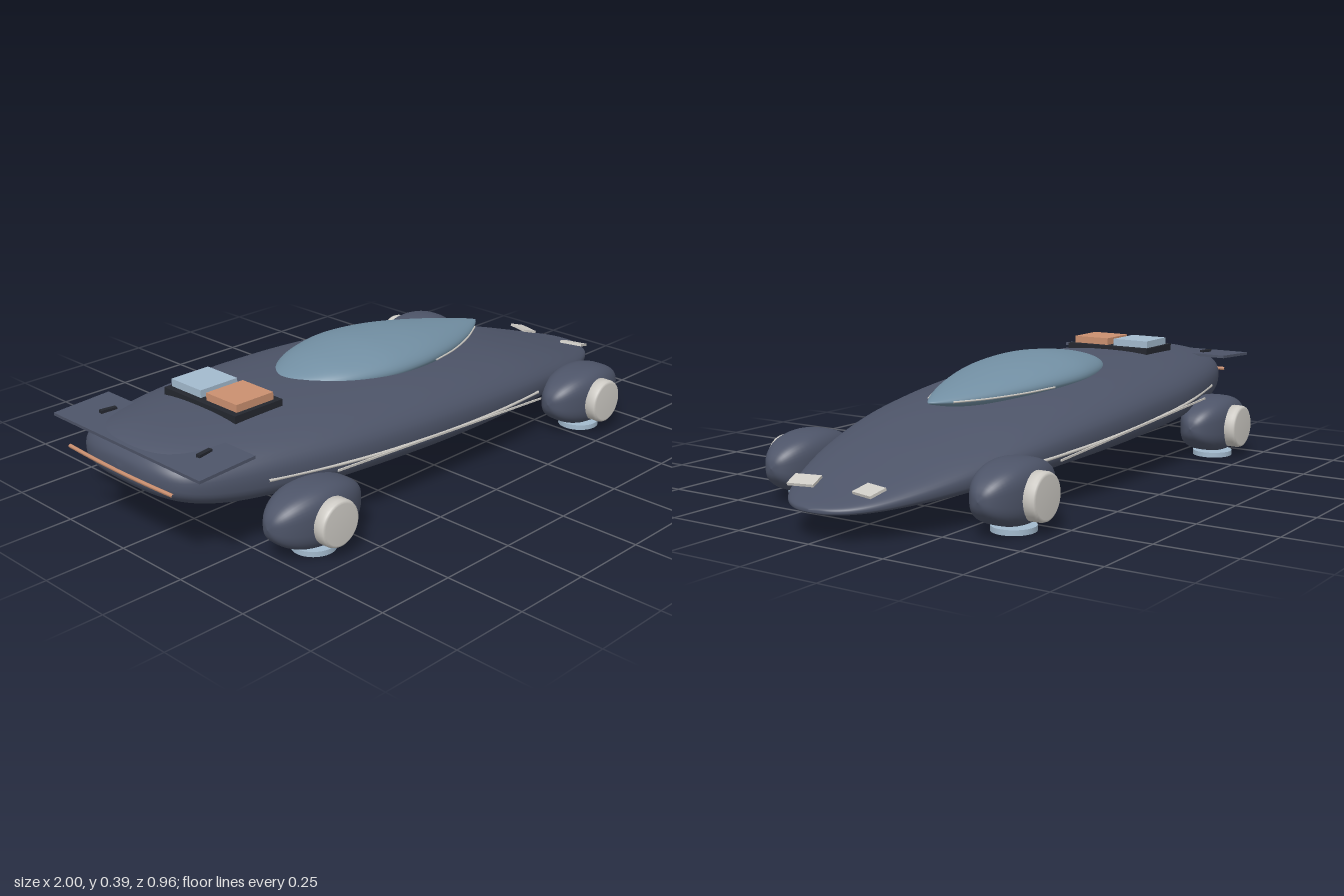
import * as THREE from 'three';

const mat = (name, color) => {
  const m = new THREE.MeshStandardMaterial({ color });
  m.name = name;
  return m;
};

// Smooth skin through sections [x, top, bottom, halfWidth]; mid is the height fraction of the widest line
function loft(stations, { mid = 0.5, nTop = 2, nBottom = 2, z = 0, steps = 6, sides = 56 }) {
  const curveA = new THREE.CatmullRomCurve3(stations.map(s => new THREE.Vector3(s[0], s[1], s[2])), false, 'catmullrom', 0.5);
  const curveB = new THREE.CatmullRomCurve3(stations.map(s => new THREE.Vector3(s[0], s[3], 0)), false, 'catmullrom', 0.5);
  const rows = (stations.length - 1) * steps;
  const pos = [], index = [];
  for (let i = 0; i <= rows; i++) {
    const a = curveA.getPoint(i / rows), w = Math.max(0, curveB.getPoint(i / rows).y);
    const my = a.z + (a.y - a.z) * mid;
    for (let j = 0; j < sides; j++) {
      const t = (j / sides) * Math.PI * 2, c = Math.cos(t), s = Math.sin(t);
      const e = 2 / (s >= 0 ? nTop : nBottom);
      const h = s >= 0 ? a.y - my : my - a.z;
      pos.push(a.x, my + h * Math.sign(s) * Math.abs(s) ** e, z + w * Math.sign(c) * Math.abs(c) ** e);
      if (i < rows) {
        const k = (j + 1) % sides, p = i * sides, q = p + sides;
        index.push(p + j, q + j, p + k, q + j, q + k, p + k);
      }
    }
  }
  const g = new THREE.BufferGeometry();
  g.setAttribute('position', new THREE.Float32BufferAttribute(pos, 3));
  g.setIndex(index);
  g.computeVertexNormals();
  return g;
}

const tube = (points, r) => new THREE.TubeGeometry(
  new THREE.CatmullRomCurve3(points.map(p => new THREE.Vector3(...p))), 40, r, 6);

export function createModel() {
  const car = new THREE.Group();
  car.name = 'car';
  const paint = mat('slate paint', 0x4d5468);
  const glass = mat('canopy glass', 0x728fa3);
  const silver = mat('pale silver', 0xcfccc6);
  const blue = mat('pale blue', 0xa3bace);
  const copper = mat('copper', 0xcb9070);
  const dark = mat('dark frame', 0x24272f);

  const add = (name, geo, material, x = 0, y = 0, z = 0, parent = car) => {
    const m = new THREE.Mesh(geo, material);
    m.name = name;
    m.position.set(x, y, z);
    parent.add(m);
    return m;
  };
  const box = (w, h, d) => new THREE.BoxGeometry(w, h, d);

  // Body shell
  const hull = [
    [-0.998, 0.25, 0.235, 0], [-0.99, 0.28, 0.21, 0.12], [-0.96, 0.307, 0.182, 0.2],
    [-0.9, 0.325, 0.155, 0.25], [-0.8, 0.335, 0.132, 0.288], [-0.65, 0.34, 0.118, 0.325],
    [-0.45, 0.339, 0.107, 0.358], [-0.2, 0.33, 0.098, 0.374], [0, 0.316, 0.092, 0.374],
    [0.2, 0.294, 0.087, 0.361], [0.4, 0.262, 0.082, 0.335], [0.6, 0.214, 0.078, 0.288],
    [0.75, 0.17, 0.076, 0.235], [0.87, 0.133, 0.075, 0.175], [0.94, 0.113, 0.076, 0.123],
    [0.98, 0.101, 0.079, 0.065], [0.995, 0.092, 0.085, 0]];
  add('body', loft(hull, { mid: 0.45, nTop: 2.4, nBottom: 3 }), paint);

  // Teardrop canopy
  const canopy = [
    [-0.41, 0.327, 0.317, 0], [-0.395, 0.337, 0.307, 0.045], [-0.34, 0.354, 0.292, 0.1],
    [-0.25, 0.373, 0.278, 0.152], [-0.12, 0.385, 0.265, 0.186], [0, 0.381, 0.262, 0.188],
    [0.12, 0.369, 0.262, 0.168], [0.25, 0.348, 0.265, 0.127], [0.37, 0.325, 0.274, 0.073],
    [0.45, 0.307, 0.289, 0.024], [0.478, 0.299, 0.297, 0]];
  add('canopy', loft(canopy, { mid: 0.45 }), glass);

  for (const s of [1, -1]) {
    const side = new THREE.Group();
    side.name = s > 0 ? 'leftSide' : 'rightSide';
    car.add(side);

    // Wheel pods with hub covers and ground pads
    for (const x of [-0.625, 0.582]) {
      const pod = new THREE.Group();
      pod.name = x < 0 ? 'rearWheelPod' : 'frontWheelPod';
      side.add(pod);
      const rings = [];
      for (let i = 0; i <= 10; i++) {
        const a = (i / 10) * Math.PI, r = Math.sin(a);
        rings.push([x - 0.167 * Math.cos(a), 0.11 + 0.092 * r, 0.11 - 0.092 * r, 0.085 * r]);
      }
      add('podShell', loft(rings, { nTop: 3, nBottom: 3, z: s * 0.365, steps: 3, sides: 40 }), paint, 0, 0, 0, pod);
      const hubProfile = [[0, -0.04], [0.07, -0.04], [0.07, 0.028], [0.067, 0.036], [0.06, 0.04], [0, 0.04]]
        .map(p => new THREE.Vector2(...p));
      add('hubCover', new THREE.LatheGeometry(hubProfile, 36), silver, x, 0.105, s * 0.438, pod)
        .rotation.x = s * Math.PI / 2;
      add('groundPad', new THREE.CylinderGeometry(0.065, 0.065, 0.016, 32), blue, x, 0.008, s * 0.367, pod);
    }

    // Pinstripe along the widest line of the body
    const stripe = [[-0.73, 0.307]].concat(hull.slice(6, 11).map(h => [h[0], h[3]]))
      .map(([x, w]) => [x, 0.215 - (x + 0.73) * 0.056, s * w]);
    add('sideStripe', tube(stripe, 0.005), silver);
    const rail = add('sideRail', box(0.9, 0.006, 0.004), silver, -0.09, 0.179, s * 0.378, side);
    rail.rotation.z = -0.056;

    // Canopy rim trim
    add('canopyTrim', tube([[0.08, 0.307, s * 0.179], [0.2, 0.302, s * 0.148],
      [0.32, 0.298, s * 0.1], [0.42, 0.297, s * 0.046]], 0.003), silver, 0, 0, 0, side);

    // Headlights
    const lamp = add('headlight', box(0.055, 0.008, 0.08), silver, 0.884, 0.135, s * 0.113, side);
    lamp.rotation.set(0, s * 0.25, -0.28);

    // Wing bracket
    add('wingBracket', box(0.05, 0.02, 0.014), dark, -0.87, 0.307, s * 0.212, side).rotation.y = s * 0.15;
  }

  // Rear wing
  add('rearWing', box(0.19, 0.009, 0.645), paint, -0.883, 0.304, 0).rotation.z = 0.05;

  // Tail light bar
  add('tailLight', tube([[-0.993, 0.235, -0.23], [-0.998, 0.235, -0.12], [-1, 0.235, 0],
    [-0.998, 0.235, 0.12], [-0.993, 0.235, 0.23]], 0.006), copper);

  // Rear deck panel with two tiles
  add('deckFrame', box(0.175, 0.024, 0.31), dark, -0.625, 0.34, 0);
  add('copperTile', box(0.135, 0.026, 0.13), copper, -0.625, 0.362, 0.074);
  add('blueTile', box(0.135, 0.026, 0.13), blue, -0.625, 0.362, -0.08);

  return car;
}
